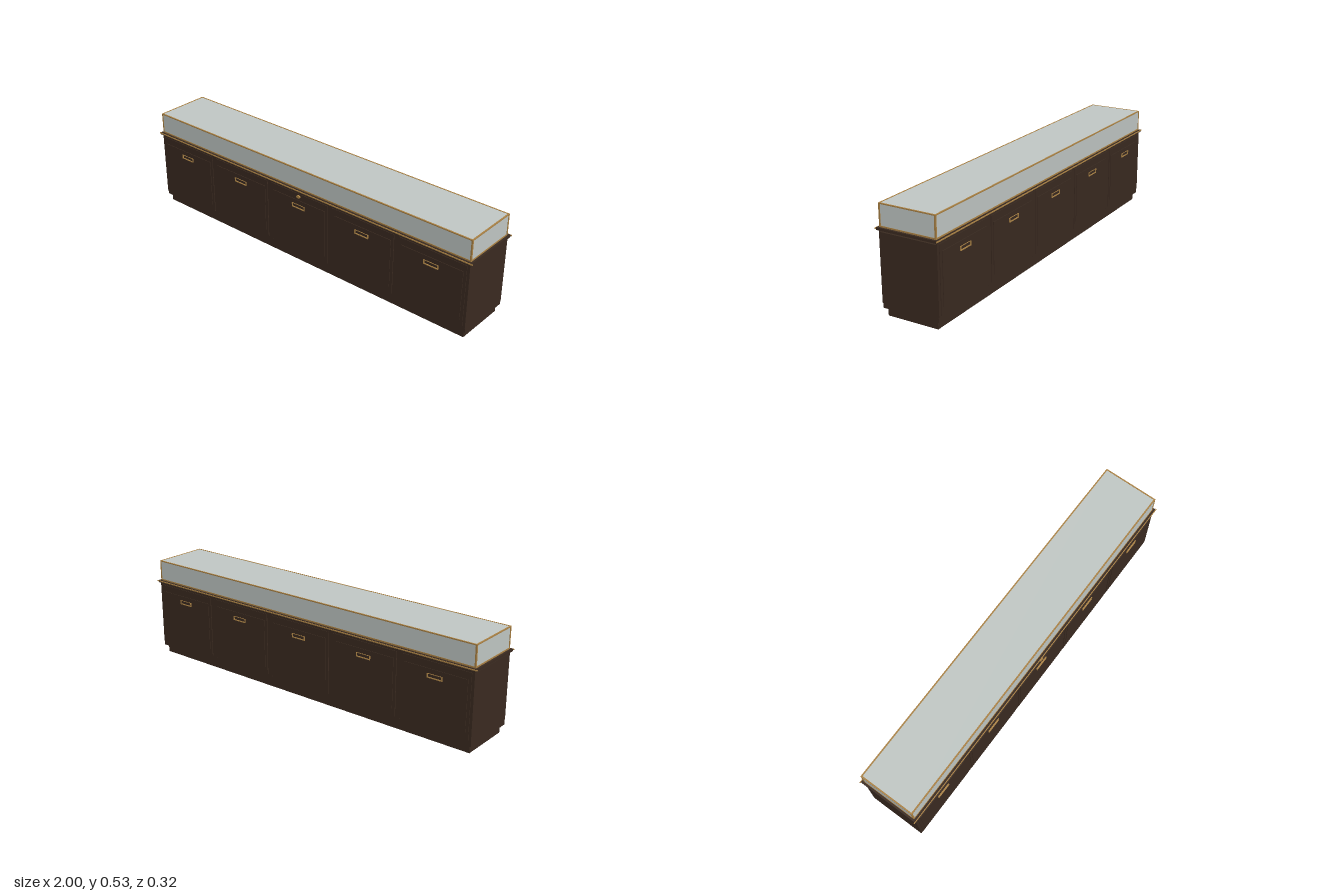
import * as THREE from 'three';

export function createModel() {
  const root = new THREE.Group();
  const mat = (name, color) => {
    const m = new THREE.MeshStandardMaterial({ color });
    m.name = name;
    return m;
  };
  const wood = mat('dark wood', 0x3b2b21);
  const brass = mat('brass', 0xad8446);
  const glass = mat('pale glass', 0xc3cac7);

  // Box given by its minimum and maximum corners
  const box = (name, material, x0, x1, y0, y1, z0, z1, parent = root) => {
    const mesh = new THREE.Mesh(new THREE.BoxGeometry(x1 - x0, y1 - y0, z1 - z0), material);
    mesh.position.set((x0 + x1) / 2, (y0 + y1) / 2, (z0 + z1) / 2);
    mesh.name = name;
    parent.add(mesh);
    return mesh;
  };

  // Cabinet carcass and counter
  box('plinth', wood, -0.97, 0.97, 0, 0.04, -0.133, 0.133);
  box('cabinetBody', wood, -0.985, 0.985, 0.04, 0.395, -0.148, 0.148);
  box('counterTop', wood, -0.995, 0.995, 0.405, 0.417, -0.158, 0.158);

  // Panelled face, the same on front and back
  const bay = 0.394;
  const buildFace = (name) => {
    const face = new THREE.Group();
    face.name = name;
    root.add(face);
    box('topRail', wood, -0.985, 0.985, 0.39, 0.405, 0.146, 0.151, face);
    box('counterTrim', brass, -1, 1, 0.411, 0.416, 0.157, 0.162, face);
    for (const x of [-0.972, -1.5 * bay, -0.5 * bay, 0.5 * bay, 1.5 * bay, 0.972]) {
      box('stile', wood, x - 0.013, x + 0.013, 0.064, 0.395, 0.146, 0.151, face);
    }
    for (let i = -2; i <= 2; i++) {
      const x = i * bay;
      box('doorFrame', wood, x - 0.183, x + 0.183, 0.07, 0.395, 0.147, 0.154, face);
      box('doorPanel', wood, x - 0.168, x + 0.168, 0.106, 0.36, 0.15, 0.157, face);
      // Rectangular pull
      const handle = new THREE.Group();
      handle.name = 'handle';
      face.add(handle);
      box('handleBar', brass, x - 0.04, x + 0.04, 0.316, 0.32, 0.156, 0.162, handle);
      box('handleTop', brass, x - 0.04, x + 0.04, 0.335, 0.337, 0.156, 0.16, handle);
      for (const s of [-1, 1]) {
        box('handleSide', brass, x + s * 0.038 - 0.002, x + s * 0.038 + 0.002, 0.316, 0.337, 0.156, 0.162, handle);
      }
    }
    return face;
  };
  buildFace('frontFace');
  buildFace('backFace').rotation.y = Math.PI;

  // Lock on the front rail
  const lock = new THREE.Mesh(new THREE.CylinderGeometry(0.008, 0.008, 0.008, 20), brass);
  lock.name = 'lock';
  lock.rotation.x = Math.PI / 2;
  lock.scale.x = 1.5;
  lock.position.set(0, 0.381, 0.157);
  root.add(lock);

  // Glass display case
  const vitrine = new THREE.Group();
  vitrine.name = 'displayCase';
  root.add(vitrine);
  box('glassCase', glass, -0.983, 0.983, 0.417, 0.526, -0.146, 0.146, vitrine);

  // Brass edging along all edges of the case
  for (const s of [-1, 1]) {
    const bar = (name, x, y, z, w, h, d) =>
      box(name, brass, x - w / 2, x + w / 2, y - h / 2, y + h / 2, z - d / 2, z + d / 2, vitrine);
    bar('longTopEdge', 0, 0.5245, s * 0.1445, 1.97, 0.005, 0.007);
    bar('longBottomEdge', 0, 0.4205, s * 0.1445, 1.97, 0.007, 0.007);
    bar('shortTopEdge', s * 0.9815, 0.5245, 0, 0.007, 0.005, 0.296);
    bar('shortBottomEdge', s * 0.9815, 0.4205, 0, 0.007, 0.007, 0.296);
    for (const t of [-1, 1]) {
      bar('cornerPost', s * 0.9815, 0.472, t * 0.144, 0.007, 0.11, 0.008);
    }
  }
  return root;
}
